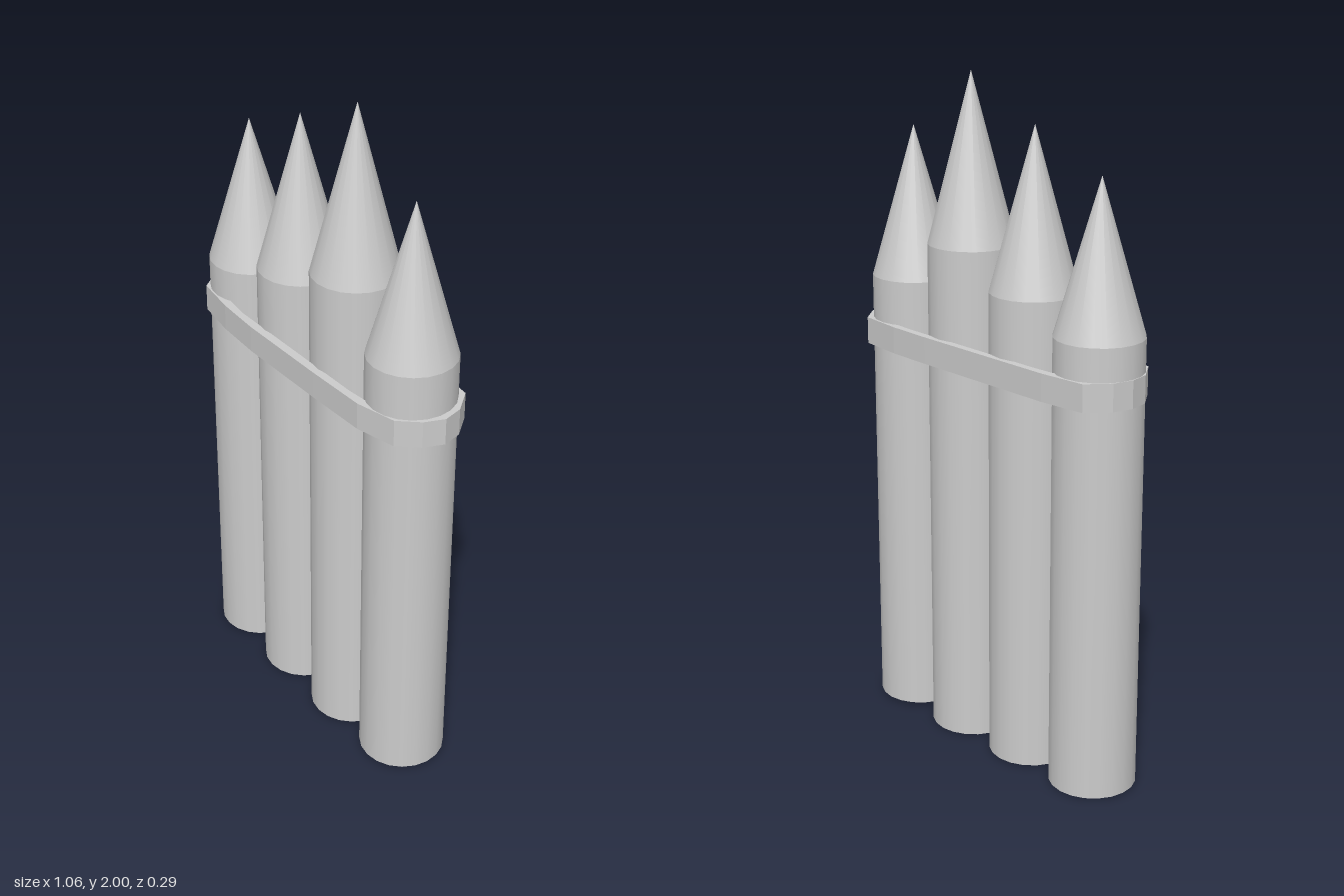
import * as THREE from 'three';

const RADIUS = 0.128;
const SIDES = 20;
const CENTRE_Z = -0.007;

// [x, bottom, shoulder height, tip height]
const SHELLS = [
  [-0.398, 0.003, 1.34, 1.775],
  [-0.14, 0.002, 1.415, 1.88],
  [0.122, 0, 1.51, 2],
  [0.378, 0.01, 1.375, 1.82],
];

// Strap outlines as [x, z], clockwise from the left-hand end
const STRAP_OUTER = [
  [-0.53, -0.01], [-0.515, -0.07], [-0.465, -0.135], [-0.32, -0.148], [0.17, -0.15],
  [0.315, -0.147], [0.455, -0.133], [0.51, -0.07], [0.527, -0.01], [0.505, 0.05],
  [0.455, 0.108], [0.33, 0.137], [0.13, 0.142], [-0.18, 0.144], [-0.33, 0.136],
  [-0.465, 0.116], [-0.518, 0.05],
];
const STRAP_INNER = [
  [-0.5, -0.01], [-0.44, -0.102], [-0.33, -0.122], [-0.26, -0.126], [0.26, -0.126],
  [0.33, -0.122], [0.44, -0.1], [0.495, -0.01], [0.44, 0.085], [0.33, 0.11],
  [0.26, 0.116], [-0.26, 0.118], [-0.33, 0.11], [-0.44, 0.085],
];

export function createModel() {
  const model = new THREE.Group();
  const material = new THREE.MeshStandardMaterial({ color: 0xcccccc });

  // Four pointed tubes side by side
  SHELLS.forEach(([x, bottom, shoulder, tip], i) => {
    const shell = new THREE.Group();
    shell.name = `pointedTube${i + 1}`;
    shell.position.set(x, 0, CENTRE_Z);

    const bodyHeight = shoulder - bottom;
    const body = new THREE.Mesh(
      new THREE.CylinderGeometry(RADIUS, RADIUS, bodyHeight, SIDES), material);
    body.name = 'tubeBody';
    body.position.y = bottom + bodyHeight / 2;

    const coneHeight = tip - shoulder;
    const cone = new THREE.Mesh(
      new THREE.ConeGeometry(RADIUS, coneHeight, SIDES, 1, true), material);
    cone.name = 'tubeTip';
    cone.position.y = shoulder + coneHeight / 2;

    shell.add(body, cone);
    model.add(shell);
  });

  // Strap wrapped round all the tubes: a ring outline extruded upwards
  const toPoints = (list) => list.map(([x, z]) => new THREE.Vector2(x, -z));
  const outline = new THREE.Shape(toPoints(STRAP_OUTER));
  outline.holes.push(new THREE.Path(toPoints(STRAP_INNER)));
  const strapGeometry = new THREE.ExtrudeGeometry(outline, { depth: 0.08, bevelEnabled: false });
  strapGeometry.rotateX(-Math.PI / 2);
  const strap = new THREE.Mesh(strapGeometry, material);
  strap.name = 'strap';
  strap.position.y = 1.165;
  model.add(strap);

  return model;
}
